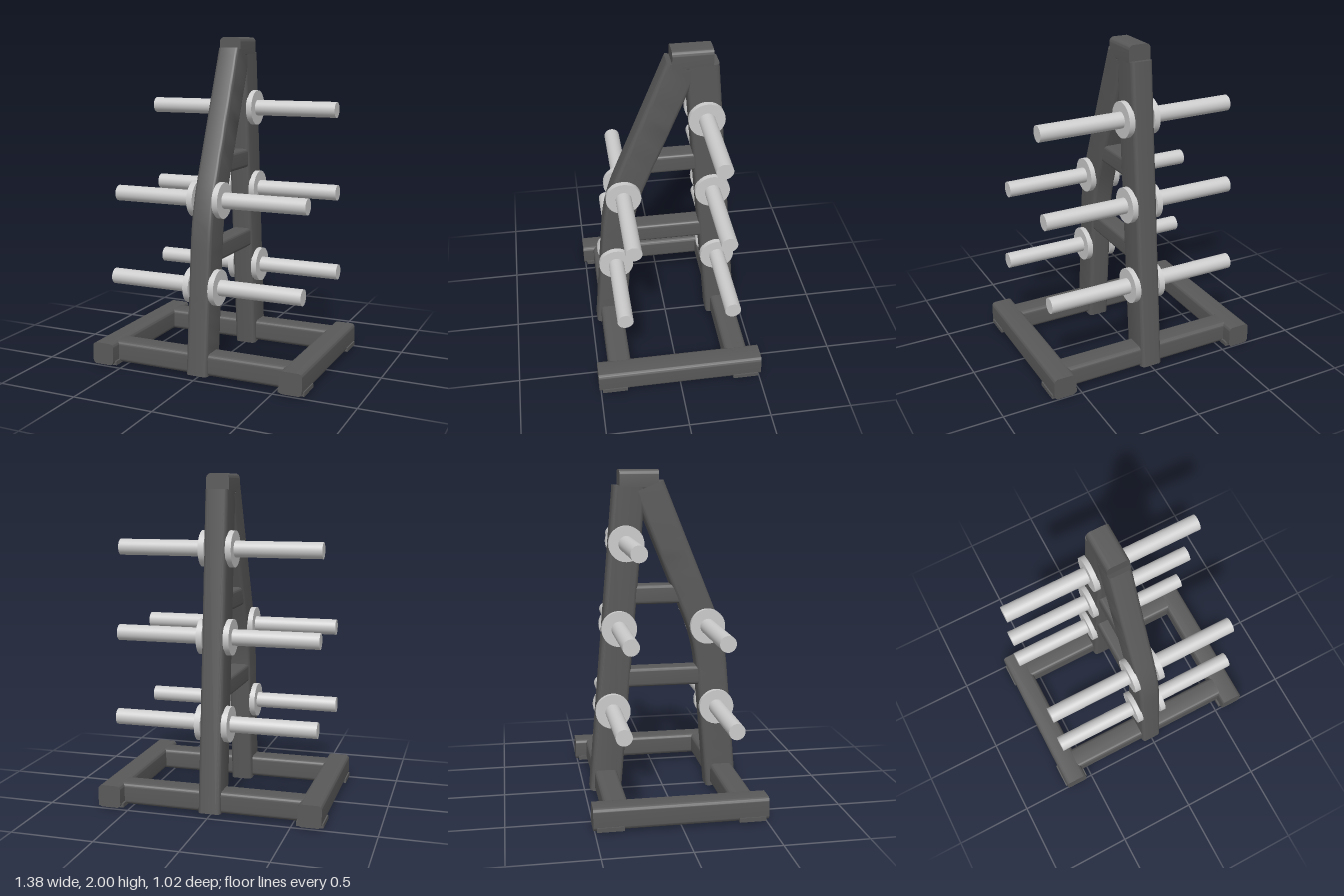
import * as THREE from 'three';
import { toCreasedNormals } from 'three/addons/utils/BufferGeometryUtils.js';

const dark = new THREE.MeshStandardMaterial({ color: 0x595959 });
const grey = new THREE.MeshStandardMaterial({ color: 0xcccccc });
const V = (y, z) => new THREE.Vector3(0, y, z);

// Rounded rectangular tube section
function section(w, h, r) {
  const s = new THREE.Shape(), x = w / 2 - r, y = h / 2 - r;
  s.absarc(x, y, r, 0, Math.PI / 2);
  s.absarc(-x, y, r, Math.PI / 2, Math.PI);
  s.absarc(-x, -y, r, Math.PI, Math.PI * 1.5);
  s.absarc(x, -y, r, Math.PI * 1.5, Math.PI * 2);
  return s;
}

function extrude(shape, options) {
  return toCreasedNormals(new THREE.ExtrudeGeometry(shape, { bevelEnabled: false, curveSegments: 5, ...options }), 0.6);
}

// Straight tube running along z, centred on the origin
function tube(w, h, length, r) {
  return extrude(section(w, h, r), { depth: length }).translate(0, 0, -length / 2);
}

export function createModel() {
  const model = new THREE.Group();
  const add = (name, geometry, material, x = 0, y = 0, z = 0) => {
    const mesh = new THREE.Mesh(geometry, material);
    mesh.name = name;
    mesh.position.set(x, y, z);
    model.add(mesh);
    return mesh;
  };

  // Base: two side beams with foot plates, joined by front and back rails
  const beam = tube(0.14, 0.135, 1.02, 0.025);
  const rail = tube(0.14, 0.133, 1.2, 0.025).rotateY(Math.PI / 2);
  const foot = new THREE.BoxGeometry(0.16, 0.025, 0.156);
  for (const s of [-1, 1]) {
    add('baseBeam', beam, dark, s * 0.612, 0.082, 0);
    add('baseRail', rail, dark, 0, 0.082, s * 0.369);
    for (const t of [-1, 1]) add('footPlate', foot, dark, s * 0.61, 0.025, t * 0.412);
  }

  // Front post: upright below, bent backwards above
  const frontPath = new THREE.CurvePath();
  const a = V(0.01, 0.37), b = V(0.785, 0.304), c = V(1.143, 0.217), d = V(1.902, -0.09);
  frontPath.add(new THREE.LineCurve3(a, b));
  frontPath.add(new THREE.QuadraticBezierCurve3(b, V(0.966, 0.289), c));
  frontPath.add(new THREE.LineCurve3(c, d));
  const postSection = section(0.136, 0.194, 0.025);
  add('frontPost', extrude(postSection, { steps: 32, extrudePath: frontPath }), dark);

  // Back post: straight, leaning forwards
  const backPath = new THREE.LineCurve3(V(0.01, -0.37), V(1.902, -0.206));
  add('backPost', extrude(postSection, { steps: 1, extrudePath: backPath }), dark);

  // Cap over the meeting posts and the two cross braces
  add('topCap', tube(0.136, 0.13, 0.237, 0.028), dark, 0, 1.935, -0.149);
  add('upperBrace', tube(0.12, 0.118, 0.36, 0.02), dark, 0, 1.25, -0.06);
  add('lowerBrace', tube(0.12, 0.118, 0.52, 0.02), dark, 0, 0.733, -0.01);

  // Storage pegs with collars on both sides of each post
  const collar = new THREE.CylinderGeometry(0.108, 0.108, 0.036, 40).rotateZ(Math.PI / 2);
  const peg = new THREE.CylinderGeometry(0.0485, 0.0485, 0.56, 32).rotateZ(Math.PI / 2);
  const pegs = [[0.535, 0.328], [1.05, 0.268], [0.535, -0.323], [1.05, -0.28], [1.565, -0.233]];
  for (const [y, z] of pegs) {
    for (const s of [-1, 1]) {
      add('collar', collar, grey, s * 0.082, y, z);
      add('peg', peg, grey, s * 0.339, y, z);
    }
  }
  return model;
}
